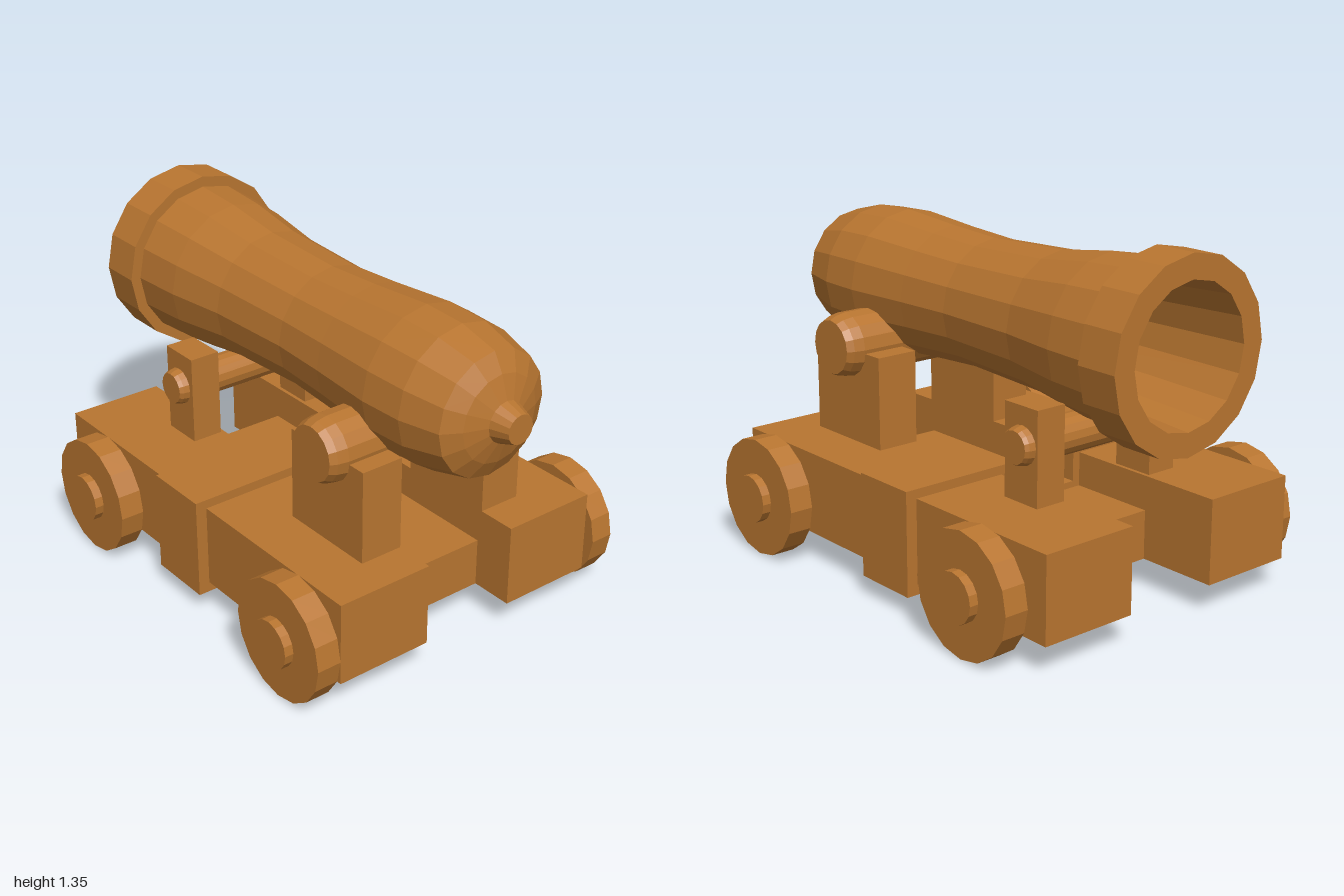
import * as THREE from 'three';

const SIDES = 16;

export function createModel() {
  const model = new THREE.Group();
  const material = new THREE.MeshStandardMaterial({ color: 0xb87530, flatShading: true });

  const add = (name, geometry) => {
    const mesh = new THREE.Mesh(geometry, material);
    mesh.name = name;
    model.add(mesh);
    return mesh;
  };
  // Box given by its extents on each axis
  const box = (name, [x0, x1], [y0, y1], [z0, z1]) =>
    add(name, new THREE.BoxGeometry(x1 - x0, y1 - y0, z1 - z0))
      .position.set((x0 + x1) / 2, (y0 + y1) / 2, (z0 + z1) / 2);
  // Turned solid from [radius, height] pairs
  const lathe = (profile) =>
    new THREE.LatheGeometry(profile.map(([r, h]) => new THREE.Vector2(r, h)), SIDES);
  // Crosswise rod with rounded-off ends
  const rod = (name, radius, half, bevel, y, z) => {
    const end = [[0, half], [radius * 0.84, half], [radius * 0.94, half - bevel * 0.4], [radius, half - bevel]];
    const start = end.map(([r, h]) => [r, -h]);
    add(name, lathe([...start, ...end.reverse()]).rotateZ(-Math.PI / 2)).position.set(0, y, z);
  };

  // Barrel: bore, muzzle ring, waisted body, domed breech and knob
  add('barrel', lathe([
    [0, 0.6], [0.18, 0.6], [0.2, 0], [0.262, -1],
    [0.352, -1], [0.352, -0.83], [0.31, -0.83],
    [0.297, -0.62], [0.262, -0.37], [0.247, 0], [0.26, 0.24],
    [0.282, 0.52], [0.275, 0.7], [0.235, 0.86], [0.165, 0.9], [0.078, 0.93],
    [0.055, 1], [0, 1],
  ]).rotateX(Math.PI / 2)).position.y = 1;

  // Rods carrying the barrel
  rod('trunnion', 0.125, 0.44, 0.07, 0.815, 0.44);
  rod('supportRod', 0.073, 0.375, 0.04, 0.65, -0.54);

  // Middle plank between the side beams
  box('bedPlank', [-0.2, 0.2], [0.115, 0.305], [-0.62, 0.62]);

  for (const s of [1, -1]) {
    const side = s > 0 ? 'left' : 'right';
    const span = (a, b) => (s > 0 ? [a, b] : [-b, -a]);

    // Side beam and the two posts standing on it
    box(side + 'Beam', span(0.195, 0.585), [0.115, 0.438], [-0.945, 0.79]);
    box(side + 'TrunnionPost', span(0.195, 0.368), [0.43, 0.8], [0.235, 0.635]);
    box(side + 'RodPost', span(0.21, 0.335), [0.43, 0.792], [-0.62, -0.45]);

    // Wheels with axle stubs
    for (const [end, z] of [['Front', 0.585], ['Back', -0.65]]) {
      const disc = (name, r, x0, x1) =>
        add(side + end + name, new THREE.CylinderGeometry(r, r, x1 - x0, SIDES).rotateZ(Math.PI / 2))
          .position.set(s * (x0 + x1) / 2, 0.232, z);
      disc('Wheel', 0.232, 0.607, 0.702);
      disc('Axle', 0.094, 0.55, 0.737);
    }
  }

  // Notched band across the carriage
  const band = new THREE.Shape([
    [-0.63, 0.075], [0.63, 0.075], [0.63, 0.473], [0.163, 0.473],
    [0.163, 0.33], [-0.163, 0.33], [-0.163, 0.473], [-0.63, 0.473],
  ].map(([x, y]) => new THREE.Vector2(x, y)));
  add('crossBand', new THREE.ExtrudeGeometry(band, { depth: 0.265, bevelEnabled: false })).position.z = -0.268;

  return model;
}
